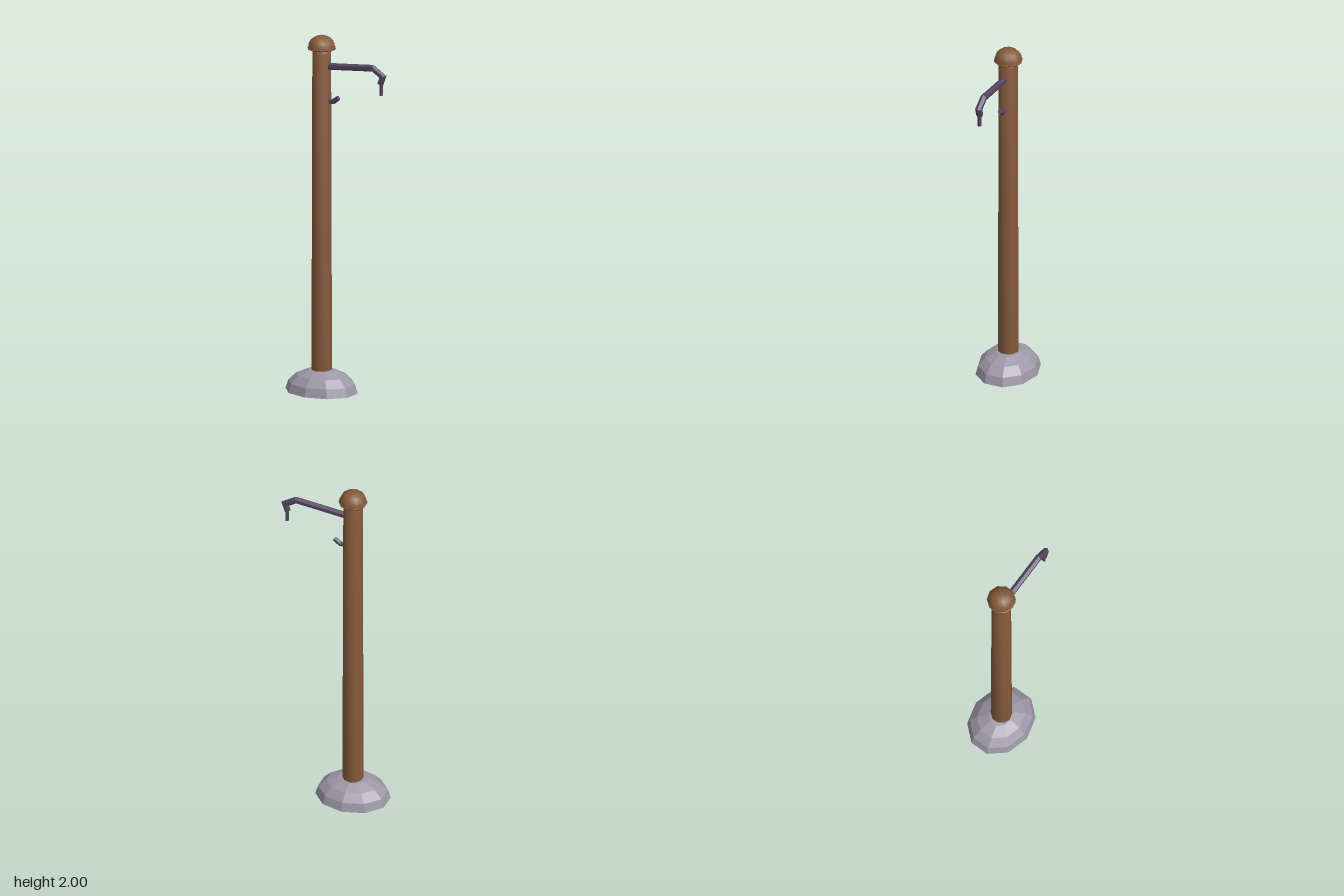
import * as THREE from 'three';
import { toCreasedNormals } from 'three/addons/utils/BufferGeometryUtils.js';

const SIDES = 10;
const POST_X = -0.11;

const wood = new THREE.MeshStandardMaterial({ name: 'wood', color: 0x83593b });
const stone = new THREE.MeshStandardMaterial({ name: 'stone', color: 0x9c97a6 });
const iron = new THREE.MeshStandardMaterial({ name: 'darkIron', color: 0x554660 });

// Turned shape from [radius, height] pairs, listed from the bottom up
function turned(points, crease) {
  const lathe = new THREE.LatheGeometry(points.map(([r, y]) => new THREE.Vector2(r, y)), SIDES);
  return toCreasedNormals(lathe, crease);
}

// Straight-sided bar along a path in the XY plane, with mitred bends and capped ends
function bentBar(path, radius, sides) {
  const pts = path.map(([x, y]) => new THREE.Vector2(x, y));
  const normals = pts.slice(1).map((p, i) => {
    const d = p.clone().sub(pts[i]).normalize();
    return new THREE.Vector2(-d.y, d.x);
  });
  const pos = [];
  const index = [];
  pts.forEach((p, i) => {
    const a = normals[Math.max(i - 1, 0)];
    const b = normals[Math.min(i, normals.length - 1)];
    const mitre = a.clone().add(b).divideScalar(1 + a.dot(b));
    for (let s = 0; s < sides; s++) {
      const t = (s / sides) * Math.PI * 2;
      const u = Math.cos(t) * radius;
      pos.push(p.x + mitre.x * u, p.y + mitre.y * u, Math.sin(t) * radius);
    }
  });
  for (let i = 0; i < pts.length - 1; i++) {
    for (let s = 0; s < sides; s++) {
      const a = i * sides + s;
      const b = i * sides + ((s + 1) % sides);
      index.push(a, b, a + sides, b, b + sides, a + sides);
    }
  }
  const last = (pts.length - 1) * sides;
  for (let s = 1; s < sides - 1; s++) {
    index.push(0, s + 1, s, last, last + s, last + s + 1);
  }
  const geo = new THREE.BufferGeometry();
  geo.setAttribute('position', new THREE.Float32BufferAttribute(pos, 3));
  geo.setIndex(index);
  return toCreasedNormals(geo, 0.5);
}

export function createModel() {
  const model = new THREE.Group();
  model.name = 'hookPost';

  function add(name, geometry, material, x = 0) {
    const mesh = new THREE.Mesh(geometry, material);
    mesh.name = name;
    mesh.position.x = x;
    model.add(mesh);
    return mesh;
  }

  // Faceted stone foot, a low oval dome
  const dome = [[0, 0]];
  for (let i = 0; i <= 4; i++) {
    const t = (i / 4) * Math.PI / 2;
    dome.push([i === 4 ? 0 : Math.cos(t), Math.sin(t) * 0.13]);
  }
  const foot = turned(dome, 0.01);
  foot.scale(0.21, 1, 0.173);
  foot.deleteAttribute('normal');
  foot.computeVertexNormals();
  add('stoneFoot', foot, stone, POST_X);

  // Tapered post with a small bevel at the top
  add('post', turned([
    [0, 0.08], [0.058, 0.08], [0.053, 1.905], [0.045, 1.92], [0.045, 1.94], [0, 1.94],
  ], 0.7), wood, POST_X);

  // Rounded cap with a narrow rim
  const cap = [[0, 1.924], [0.077, 1.924], [0.08, 1.93]];
  for (let i = 0; i <= 6; i++) {
    const t = (i / 6) * Math.PI / 2;
    cap.push([i === 6 ? 0 : Math.cos(t) * 0.076, 1.932 + Math.sin(t) * 0.068]);
  }
  add('postCap', turned(cap, 0.7), wood, POST_X);

  // Long arm bending down at its end, with a thin pin hanging from it
  add('arm', bentBar([[-0.09, 1.829], [0.222, 1.861], [0.286, 1.822], [0.271, 1.78]], 0.019, 6), iron);
  add('hangingPin', bentBar([[0.275, 1.8], [0.275, 1.715]], 0.01, 6), iron);

  // Small upturned peg below the arm
  add('peg', bentBar([[-0.09, 1.637], [-0.035, 1.637], [-0.002, 1.662]], 0.014, 6), iron);

  return model;
}
